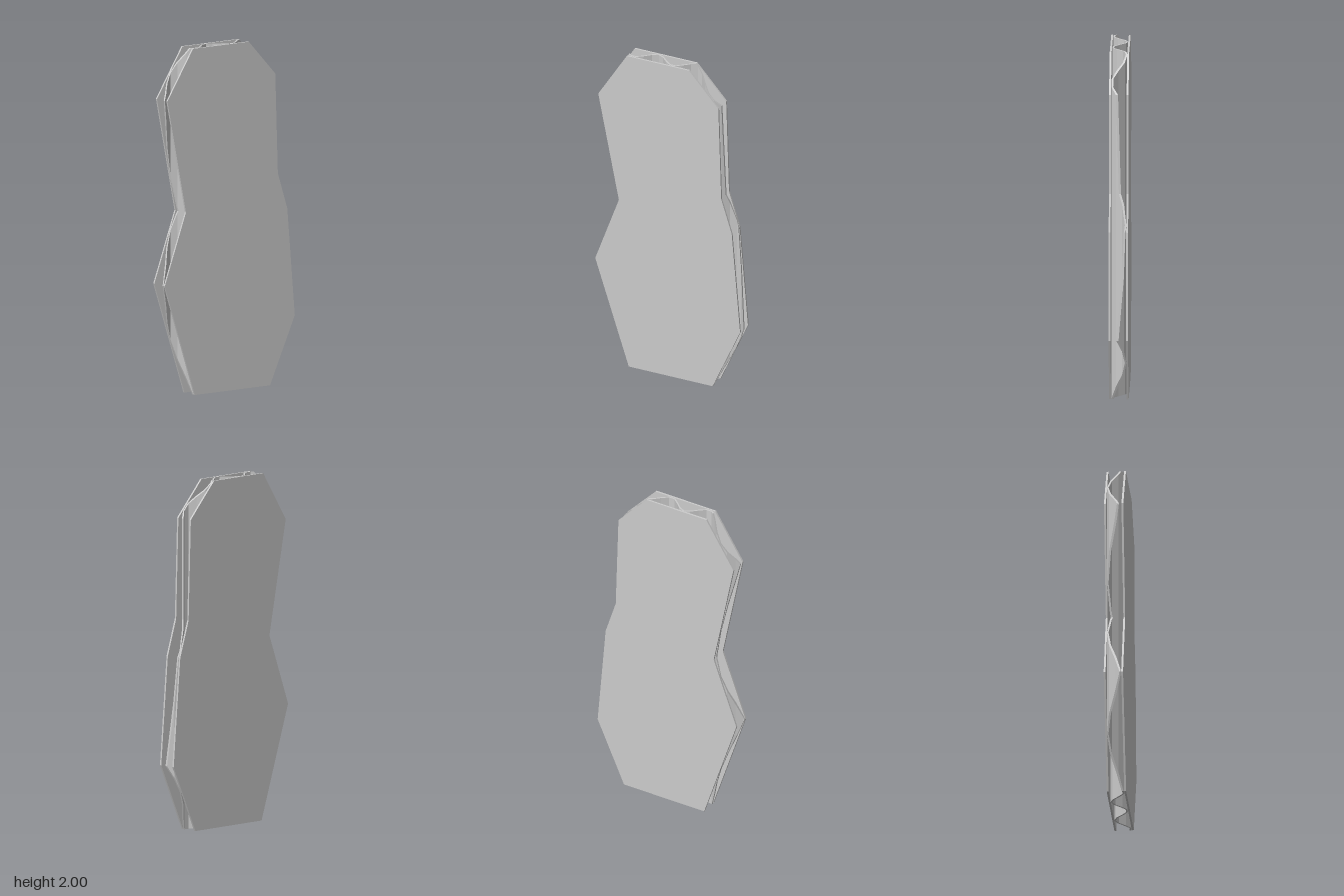
import * as THREE from 'three';

// Torn outline of the board, counter-clockwise
const OUTLINE = [
  [-0.247, 0], [0.285, 0], [0.46, 0.387], [0.407, 1.01], [0.34, 1.22], [0.322, 1.797],
  [0.135, 2], [-0.26, 2], [-0.441, 1.715], [-0.31, 1.06], [-0.46, 0.65],
];
const HALF_DEPTH = 0.0555, LINER = 0.011;
const PERIOD = 0.248, SEGMENTS = 7, CREST_X = -0.102, AMPLITUDE = 0.041, PAPER = 0.0045;

// Flat facing sheet spanning z to z + LINER
function linerGeometry(z) {
  const shape = new THREE.Shape(OUTLINE.map(([x, y]) => new THREE.Vector2(x, y)));
  return new THREE.ExtrudeGeometry(shape, { depth: LINER, bevelEnabled: false }).translate(0, 0, z);
}

// Centre and half thickness of the wave, straight between its creases
const STEP = PERIOD / SEGMENTS;
function crease(k) {
  const a = (k / SEGMENTS) * Math.PI * 2;
  const slope = AMPLITUDE * Math.sin(a) * Math.PI * 2 / PERIOD;
  return [-AMPLITUDE * Math.cos(a), PAPER * Math.hypot(1, slope)];
}
function wave(x) {
  const u = (x - CREST_X) / STEP, k = Math.floor(u + 1e-6), t = u - k;
  const a = crease(k), b = crease(k + 1);
  return [a[0] + (b[0] - a[0]) * t, a[1] + (b[1] - a[1]) * t];
}

// Corrugated sheet: vertical strips between creases, trimmed to the outline
function fluteGeometry() {
  const pos = [];
  const tri = (a, b, c) => {
    const area = new THREE.Triangle(a, b, c).getArea();
    if (area > 1e-9) for (const p of [a, b, c]) pos.push(p.x, p.y, p.z);
  };
  const quad = (a, b, c, d) => { tri(a, b, c); tri(a, c, d); };

  const xs = OUTLINE.map(p => p[0]);
  const xMin = Math.min(...xs), xMax = Math.max(...xs);
  for (let k = -30; k < 30; k++) {
    const x = CREST_X + k * STEP;
    if (x > xMin && x < xMax) xs.push(x);
  }
  xs.sort((a, b) => a - b);

  const edges = OUTLINE.map((p, i) => [p, OUTLINE[(i + 1) % OUTLINE.length]]);
  const yAt = ([p, q], x) => p[1] + (q[1] - p[1]) * (x - p[0]) / (q[0] - p[0]);

  for (let i = 0; i + 1 < xs.length; i++) {
    const x0 = xs[i], x1 = xs[i + 1], mid = (x0 + x1) / 2;
    if (x1 - x0 < 1e-6) continue;
    const crossed = edges
      .filter(([p, q]) => (p[0] < mid) !== (q[0] < mid))
      .sort((a, b) => yAt(a, mid) - yAt(b, mid));
    // Each pair of crossed edges bounds one strip from below and above
    for (let j = 0; j + 1 < crossed.length; j += 2) {
      const corner = (x, edge, side) => {
        const [z, h] = wave(x);
        return new THREE.Vector3(x, yAt(edge, x), z + side * h);
      };
      const [lo, hi] = [crossed[j], crossed[j + 1]];
      const [a, b, c, d] = [corner(x0, lo, 1), corner(x1, lo, 1), corner(x1, hi, 1), corner(x0, hi, 1)];
      const [e, f, g, h] = [corner(x0, lo, -1), corner(x1, lo, -1), corner(x1, hi, -1), corner(x0, hi, -1)];
      quad(a, b, c, d); // front
      quad(f, e, h, g); // back
      quad(d, c, g, h); // upper cut
      quad(e, f, b, a); // lower cut
    }
  }
  const geometry = new THREE.BufferGeometry();
  geometry.setAttribute('position', new THREE.Float32BufferAttribute(pos, 3));
  geometry.computeVertexNormals();
  return geometry;
}

export function createModel() {
  const group = new THREE.Group();
  group.name = 'corrugatedBoard';
  const material = new THREE.MeshStandardMaterial({ color: 0xcccccc, flatShading: true });
  const add = (name, geometry) => {
    const mesh = new THREE.Mesh(geometry, material);
    mesh.name = name;
    group.add(mesh);
  };
  add('frontLiner', linerGeometry(HALF_DEPTH - LINER));
  add('backLiner', linerGeometry(-HALF_DEPTH));
  add('flutedCore', fluteGeometry());
  return group;
}
